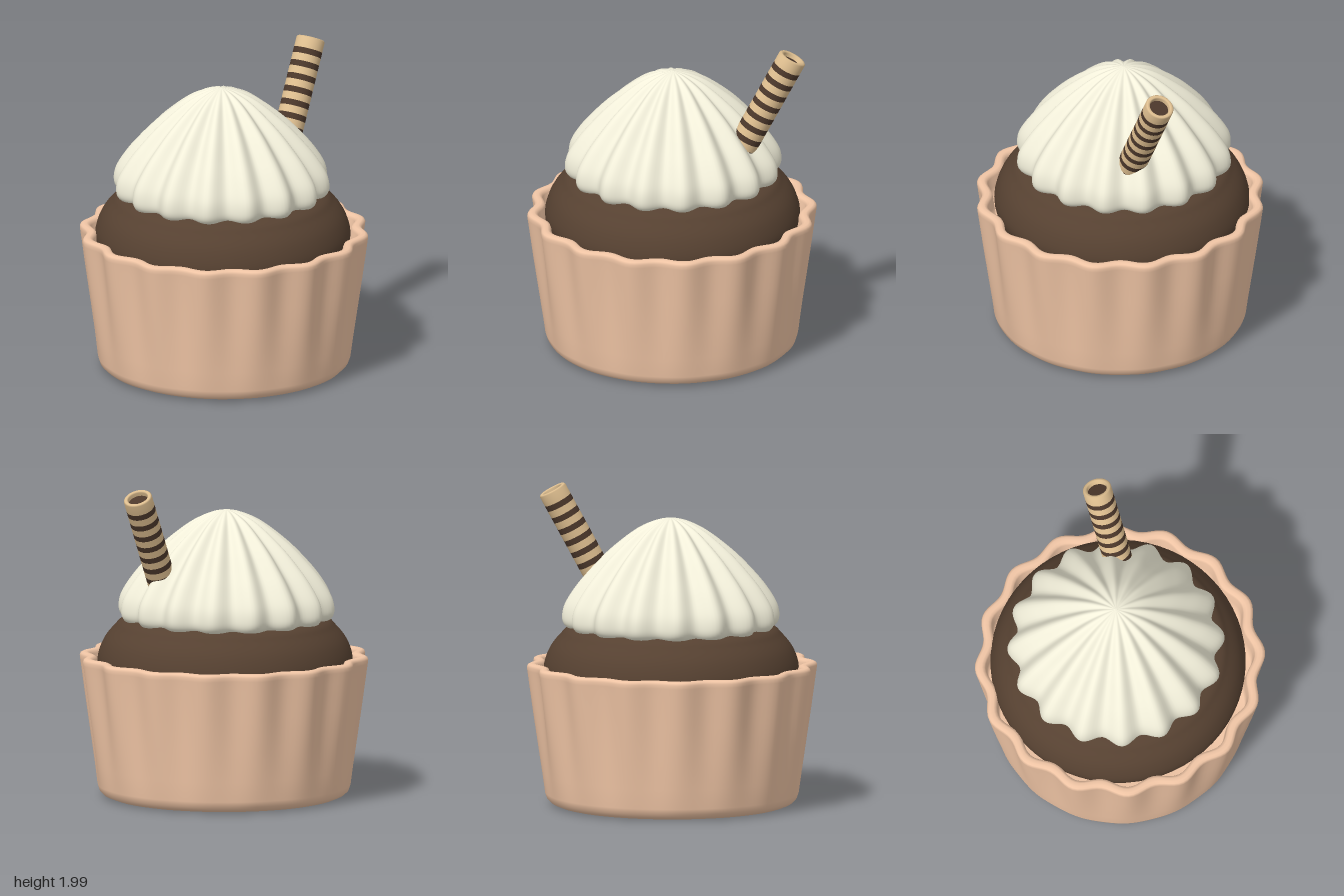
import * as THREE from 'three';
import { mergeVertices } from 'three/addons/utils/BufferGeometryUtils.js';

const COLORS = { cup: 0xf0c5a5, cake: 0x564131, cream: 0xf2efda, wafer: 0xdfbf90, stripe: 0x4c382b };
const LOBES = 16;

function addMesh(parent, name, geometry, color) {
  const mesh = new THREE.Mesh(geometry, new THREE.MeshStandardMaterial({ color }));
  mesh.name = name;
  parent.add(mesh);
  return mesh;
}

const toPoints = (pairs) => pairs.map(([r, y]) => new THREE.Vector2(r, y));
const smooth = (pairs, n) => new THREE.SplineCurve(toPoints(pairs)).getPoints(n)
  .map((p) => new THREE.Vector2(Math.max(p.x, 0), p.y));

// Lathe whose radius swells and shrinks in lobes; amount(r, y) is the wave height
function flutedLathe(points, segments, amount) {
  const geo = new THREE.LatheGeometry(points, segments);
  const pos = geo.attributes.position;
  for (let i = 0; i < pos.count; i++) {
    const x = pos.getX(i), y = pos.getY(i), z = pos.getZ(i);
    const r = Math.hypot(x, z);
    if (r < 1e-4) continue;
    const k = 1 + amount(r, y) * Math.cos(LOBES * Math.atan2(x, z)) / r;
    pos.setXYZ(i, x * k, y, z * k);
  }
  geo.deleteAttribute('normal');
  geo.deleteAttribute('uv');
  const merged = mergeVertices(geo, 1e-5);
  merged.computeVertexNormals();
  return merged;
}

// Striped rolled wafer, built along +y from its buried end
function createWafer(length, radius) {
  const wafer = new THREE.Group();
  wafer.name = 'waferStick';
  const pitch = 0.083, dark = 0.037, inner = 0.062, cap = 0.075;
  const ring = (name, top, height, color) => {
    const mesh = addMesh(wafer, name, new THREE.CylinderGeometry(radius, radius, height, 40, 1, true), color);
    mesh.position.y = top - height / 2;
  };
  // hollow light end with rounded lip
  const lip = [[radius, length - cap], [radius, length - 0.008], [radius - 0.008, length],
    [inner + 0.006, length], [inner, length - 0.008], [inner, length - 0.05]];
  addMesh(wafer, 'waferEnd', new THREE.LatheGeometry(toPoints(lip), 40), COLORS.wafer);
  const filling = addMesh(wafer, 'waferFilling', new THREE.CircleGeometry(inner, 40), COLORS.stripe);
  filling.rotation.x = -Math.PI / 2;
  filling.position.y = length - 0.03;
  // alternating bands down to the buried end
  for (let top = length - cap; top > pitch; top -= pitch) {
    ring('waferStripe', top, dark, COLORS.stripe);
    ring('waferBand', top - dark, pitch - dark, COLORS.wafer);
  }
  return wafer;
}

export function createModel() {
  const model = new THREE.Group();
  model.name = 'cupcake';

  // Fluted cup: round at the foot, wavy at the rim
  const cup = [[0, 0], [0.4, 0], [0.68, 0], [0.72, 0.004], [0.755, 0.018], [0.777, 0.04], [0.788, 0.075],
    [0.802, 0.2], [0.825, 0.4], [0.848, 0.6], [0.87, 0.78], [0.879, 0.845], [0.882, 0.868], [0.876, 0.883],
    [0.862, 0.89], [0.838, 0.89], [0.822, 0.883], [0.814, 0.865], [0.805, 0.8], [0.79, 0.7], [0, 0.68]];
  addMesh(model, 'cup', flutedLathe(toPoints(cup), 192,
    (r, y) => 0.023 * THREE.MathUtils.smoothstep(y, -0.1, 0.8) * Math.min(1, r / 0.7)), COLORS.cup);

  // Domed cake
  const cake = smooth([[0.74, 0.7], [0.785, 0.8], [0.792, 0.88], [0.757, 0.98], [0.695, 1.06],
    [0.62, 1.12], [0.4, 1.17], [0, 1.19]], 40);
  addMesh(model, 'cake', new THREE.LatheGeometry(cake, 64), COLORS.cake).position.z = -0.012;

  // Piped cream with grooves running up to the tip
  const cream = smooth([[0.45, 1.12], [0.59, 1.112], [0.632, 1.13], [0.647, 1.18], [0.63, 1.26], [0.57, 1.36],
    [0.49, 1.46], [0.37, 1.587], [0.21, 1.72], [0.09, 1.782], [0, 1.802]], 60);
  addMesh(model, 'cream', flutedLathe(cream, 192,
    (r, y) => r * THREE.MathUtils.mapLinear(y, 1.11, 1.8, 0.042, 0.09)), COLORS.cream).position.z = -0.025;

  // Wafer stick leaning out of the cream
  const length = 0.75;
  const tip = new THREE.Vector3(0.755, 1.955, -0.1);
  const axis = new THREE.Vector3(0.26, 0.525, -0.11).normalize();
  const wafer = createWafer(length, 0.09);
  wafer.quaternion.setFromUnitVectors(new THREE.Vector3(0, 1, 0), axis);
  wafer.position.copy(tip).addScaledVector(axis, -length);
  model.add(wafer);

  return model;
}
